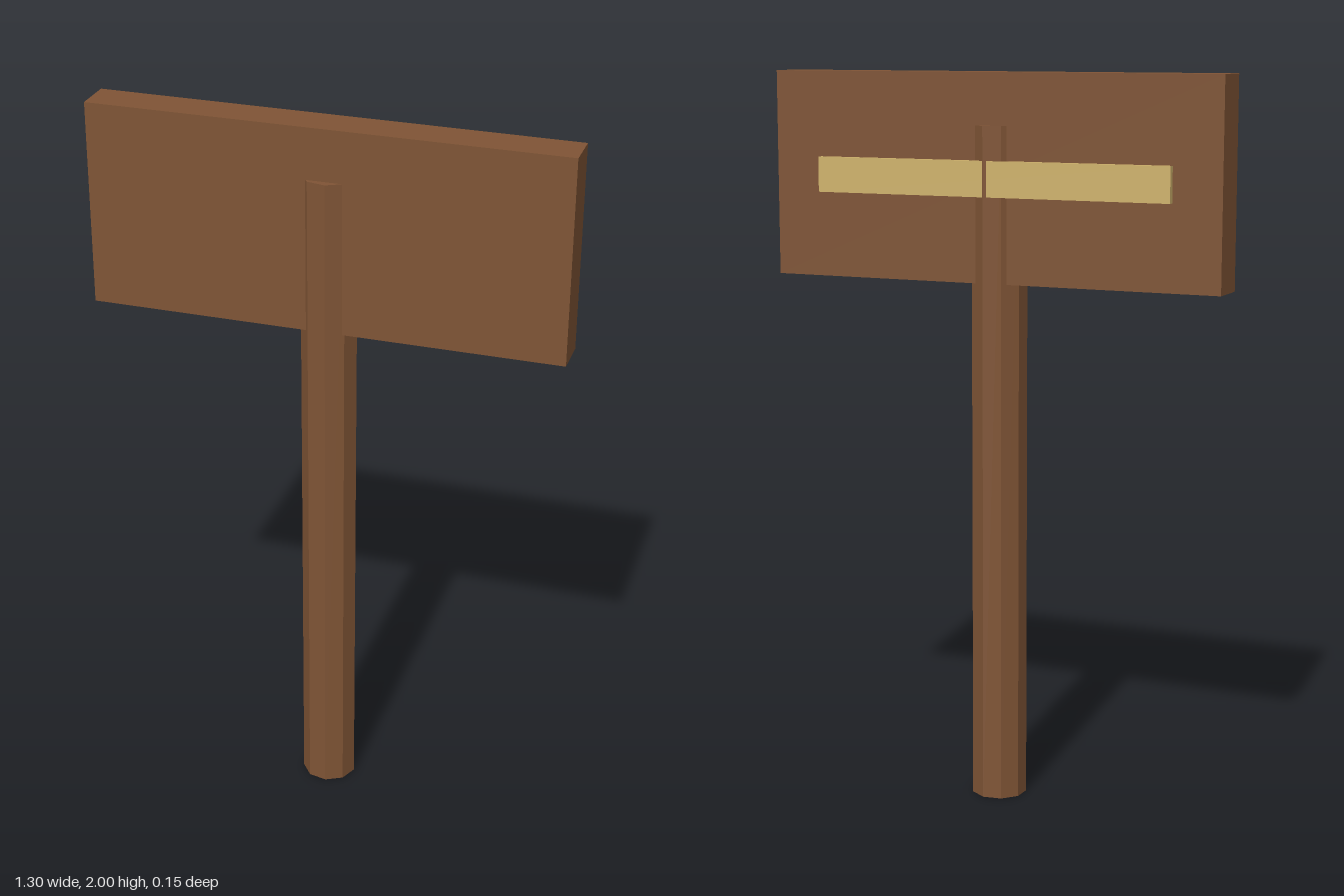
import * as THREE from 'three';

export function createModel() {
  const group = new THREE.Group();
  group.name = 'signpost';

  const wood = new THREE.MeshStandardMaterial({ color: 0x7f5435, flatShading: true });
  wood.name = 'brown wood';
  const pale = new THREE.MeshStandardMaterial({ color: 0xd0b36c, flatShading: true });
  pale.name = 'pale wood';

  const add = (name, geometry, material, x, y, z) => {
    const mesh = new THREE.Mesh(geometry, material);
    mesh.name = name;
    mesh.position.set(x, y, z);
    group.add(mesh);
    return mesh;
  };

  // Nine-sided post, running up through the board
  const post = add('post', new THREE.CylinderGeometry(0.076, 0.076, 1.86, 9), wood, 0, 0.93, 0);
  post.rotation.y = THREE.MathUtils.degToRad(8);

  // Sign board
  add('board', new THREE.BoxGeometry(1.296, 0.56, 0.11), wood, 0, 1.72, -0.001);

  // Slat fixed across the back of the board, behind the post
  add('backSlat', new THREE.BoxGeometry(1.024, 0.096, 0.03), pale, 0, 1.72, -0.058);

  return group;
}
